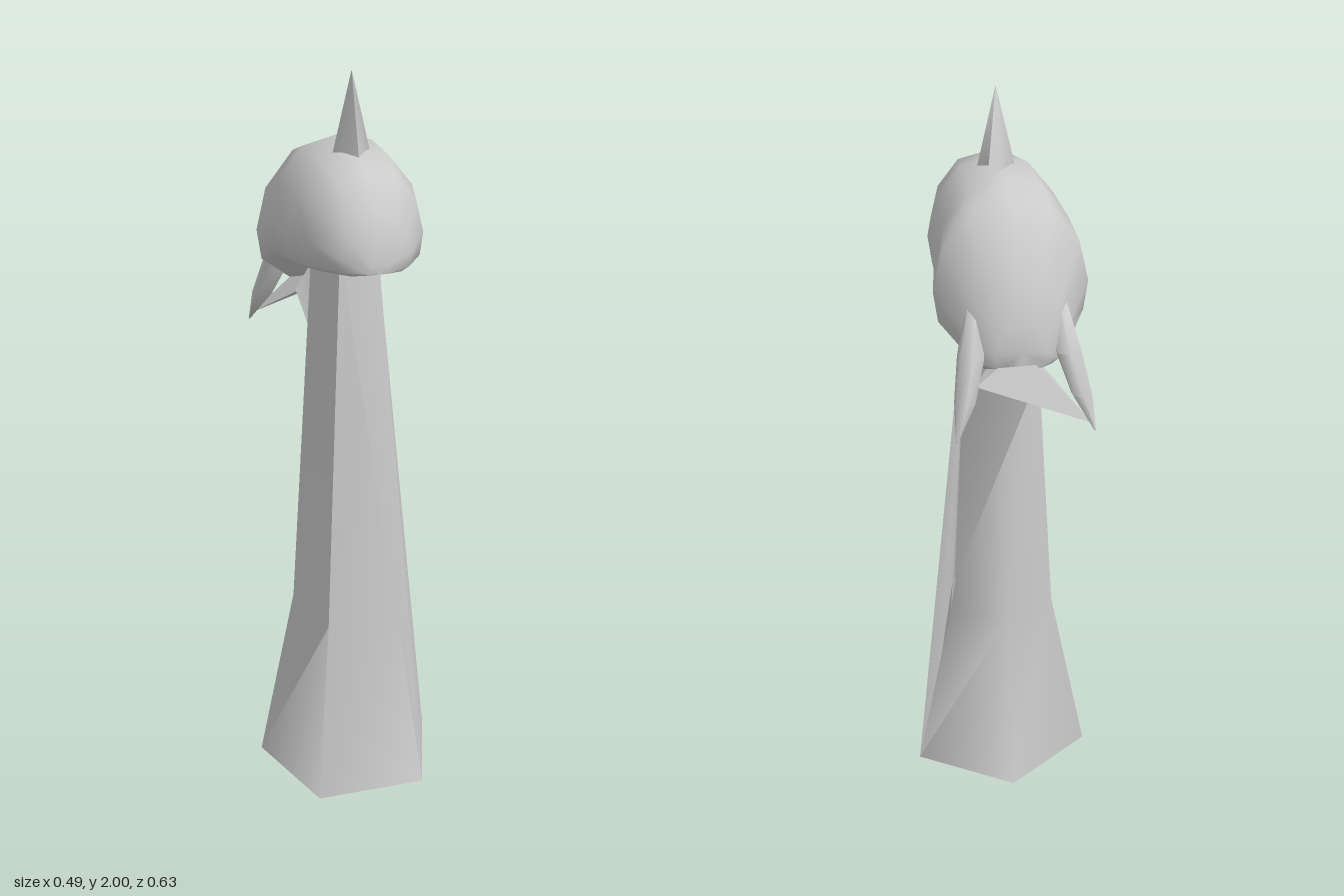
import * as THREE from 'three';
import { toCreasedNormals } from 'three/addons/utils/BufferGeometryUtils.js';
import { ConvexGeometry } from 'three/addons/geometries/ConvexGeometry.js';

// Skin a list of equal-sized rings, closing both ends with fans.
function loft(rings, crease) {
  const n = rings[0].length;
  const pos = rings.flat(2);
  const idx = [];
  for (let i = 0; i < rings.length - 1; i++) {
    for (let j = 0; j < n; j++) {
      const a = i * n + j, b = i * n + (j + 1) % n;
      idx.push(a, b, b + n, a, b + n, a + n);
    }
  }
  [0, rings.length - 1].forEach((r) => {
    const c = pos.length / 3;
    for (let k = 0; k < 3; k++) pos.push(rings[r].reduce((s, p) => s + p[k], 0) / n);
    for (let j = 0; j < n; j++) {
      const a = r * n + j, b = r * n + (j + 1) % n;
      if (r === 0) idx.push(c, b, a);
      else idx.push(c, a, b);
    }
  });
  const geo = new THREE.BufferGeometry();
  geo.setAttribute('position', new THREE.Float32BufferAttribute(pos, 3));
  geo.setIndex(idx);
  return toCreasedNormals(geo, crease);
}

// Open skin: a smooth fan through its corners, counter-clockwise.
function fold(corners) {
  const geo = new THREE.BufferGeometry();
  geo.setAttribute('position', new THREE.Float32BufferAttribute(corners.flat(), 3));
  const idx = [];
  for (let i = 1; i < corners.length - 1; i++) idx.push(0, i, i + 1);
  geo.setIndex(idx);
  geo.computeVertexNormals();
  return geo;
}

export function createModel() {
  const group = new THREE.Group();
  const grey = new THREE.MeshStandardMaterial({ color: 0xcccccc, side: THREE.DoubleSide });
  grey.name = 'grey';
  const add = (name, geo) => {
    const mesh = new THREE.Mesh(geo, grey);
    mesh.name = name;
    group.add(mesh);
  };

  // Five-sided neck, bent inwards a third of the way up, with a hollowed base:
  // y, front x, front z, side x, side z, back z
  const neck = [
    [0.08, 0.02, 0.08, 0.03, 0.05, 0.02],
    [0, 0.15, 0.285, 0.245, 0, -0.175],
    [0.5, 0.1, 0.205, 0.145, 0.005, -0.08],
    [1.56, 0.05, 0.145, 0.085, 0.01, -0.015],
  ];
  add('neck', loft(neck.map(([y, fx, fz, sx, sz, bz]) => [
    [fx, y, fz], [sx, y, sz], [0, y, bz], [-sx, y, sz], [-fx, y, fz],
  ]), 1.3));

  // Straight folds of skin lying over the neck
  add('frontFold', fold([
    [0.15, 0, 0.285], [0.245, 0, 0], [0.085, 1.56, 0.01],
    [0.05, 1.56, 0.145], [-0.05, 1.56, 0.145],
  ]));
  add('napeFold', fold([[0.135, 0.6, 0], [-0.09, 1.35, -0.145], [0, 1.5, -0.14], [0.09, 1.5, 0]]));

  // Head, from back to muzzle: z, half width, top, bottom
  const half = [[0.72, 0], [0.94, 0.08], [1, 0.32], [0.87, 0.65], [0.5, 0.93]];
  const outline = [[0, 0], ...half, [0, 1], ...half.map(([x, y]) => [-x, y]).reverse()];
  const head = [
    [-0.255, 0.07, 1.49, 1.37],
    [-0.215, 0.12, 1.61, 1.36],
    [-0.12, 0.2, 1.77, 1.43],
    [-0.05, 0.185, 1.8, 1.48],
    [0.1, 0.176, 1.805, 1.505],
    [0.21, 0.148, 1.78, 1.53],
    [0.295, 0.09, 1.69, 1.545],
    [0.315, 0.025, 1.58, 1.55],
  ];
  add('head', loft(head.map(([z, w, top, bottom]) =>
    outline.map(([x, y]) => [x * w, bottom + y * (top - bottom), z])), 1.2));

  // Pointed horn, with a sliver drawn out at the back
  const base = [
    [0, 0.145], [0.05, 0.075], [0.015, 0.045], [0.045, -0.04], [0, 0], [-0.05, 0.075],
  ];
  add('horn', loft([
    base.map(([x, z]) => [x, 1.785, z]),
    base.map(() => [0, 2, 0.077]),
  ], 1.7));

  // Drooping ears, from tip to root: y, x, z, radius
  const ear = [
    [1.21, 0.178, -0.315, 0.002],
    [1.3, 0.15, -0.275, 0.028],
    [1.4, 0.125, -0.225, 0.036],
    [1.52, 0.105, -0.18, 0.025],
  ];
  for (const side of [1, -1]) {
    add(side > 0 ? 'leftEar' : 'rightEar', loft(ear.map(([y, x, z, r]) =>
      Array.from({ length: 6 }, (_, k) => {
        const t = k * Math.PI / 3;
        return [side * x + r * Math.sin(t), y, z + r * Math.cos(t)];
      })), 1.2));
  }

  // Wedge of skin stretched between the ears under the head
  add('earWeb', new ConvexGeometry([
    new THREE.Vector3(-0.17, 1.23, -0.31),
    new THREE.Vector3(0.12, 1.34, -0.27),
    new THREE.Vector3(0, 1.41, -0.08),
    new THREE.Vector3(0, 1.42, -0.24),
  ]));

  return group;
}
